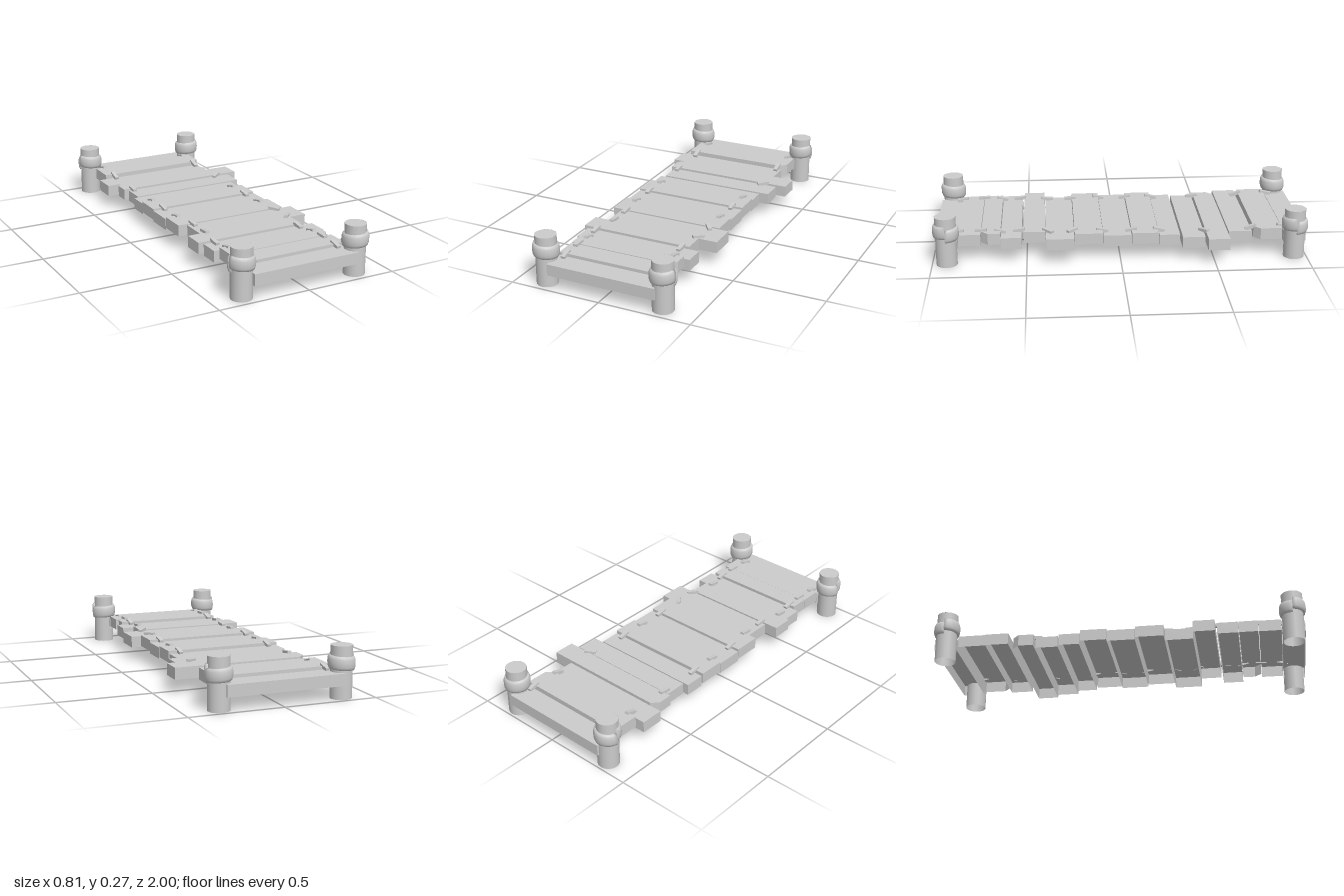
import * as THREE from 'three';

const material = new THREE.MeshStandardMaterial({ color: 0xcccccc, side: THREE.DoubleSide });

// Planks, back to front: z0, z1, x0, x1, bottom y, chipped corner (optional)
const PLANKS = [
  [-1.0, -0.88, -0.33, 0.3, 0.075],
  [-0.87, -0.72, -0.325, 0.3, 0.09, 'frontRight'],
  [-0.71, -0.585, -0.37, 0.28, 0.07],
  [-0.575, -0.46, -0.325, 0.405, 0.077, 'backLeft'],
  [-0.45, -0.33, -0.3, 0.35, 0.07],
  [-0.32, -0.21, -0.325, 0.3, 0.067],
  [-0.205, -0.063, -0.33, 0.305, 0.082],
  [-0.06, 0.09, -0.33, 0.305, 0.072],
  [0.093, 0.243, -0.33, 0.305, 0.085],
  [0.246, 0.395, -0.28, 0.36, 0.08],
  [0.4, 0.515, -0.355, 0.26, 0.085],
  [0.525, 0.635, -0.33, 0.32, 0.077],
  [0.638, 0.74, -0.3, 0.29, 0.092, 'frontRight'],
  [0.743, 0.862, -0.3, 0.295, 0.09],
  [0.865, 0.985, -0.3, 0.3, 0.075],
];
const THICK = 0.062;

// Extruded plank outline, hollow underneath
function plankGeometry(z0, z1, x0, x1, chip) {
  const c = 0.035;
  const points = [[x0, -z1]];
  if (chip === 'frontRight') points.push([x1 - c, -z1], [x1, -z1 + c]);
  else points.push([x1, -z1]);
  points.push([x1, -z0]);
  if (chip === 'backLeft') points.push([x0 + c, -z0], [x0, -z0 - c]);
  else points.push([x0, -z0]);
  const shape = new THREE.Shape(points.map(p => new THREE.Vector2(...p)));
  const solid = new THREE.ExtrudeGeometry(shape, { depth: THICK, bevelEnabled: false });
  solid.rotateX(-Math.PI / 2);
  // Drop the triangles of the bottom cap
  const pos = solid.attributes.position;
  const kept = [];
  for (let i = 0; i < pos.count; i += 3) {
    if (Math.max(pos.getY(i), pos.getY(i + 1), pos.getY(i + 2)) < 0.001) continue;
    for (let k = i; k < i + 3; k++) kept.push(pos.getX(k), pos.getY(k), pos.getZ(k));
  }
  const g = new THREE.BufferGeometry();
  g.setAttribute('position', new THREE.Float32BufferAttribute(kept, 3));
  g.computeVertexNormals();
  return g;
}

// Bulged band wound once round a post, dropping as it goes so its ends overlap in a step
function collarGeometry(side) {
  const profile = [[0.054, 0], [0.064, 0], [0.069, 0.014], [0.07, 0.033], [0.069, 0.052], [0.064, 0.066], [0.054, 0.068]];
  const steps = 24, n = profile.length, pos = [], index = [];
  for (let i = 0; i <= steps; i++) {
    const t = i / steps, a = t * Math.PI * 2;
    for (const [r, y] of profile) {
      pos.push(side * r * Math.cos(a), y + 0.163 - 0.02 * t, r * Math.sin(a));
    }
  }
  for (let i = 0; i < steps; i++) {
    for (let j = 0; j < n - 1; j++) {
      const a = i * n + j, b = a + n;
      if (side > 0) index.push(a, a + 1, b, b, a + 1, b + 1);
      else index.push(a, b, a + 1, b, b + 1, a + 1);
    }
  }
  // End caps of the band
  for (const [start, flip] of [[0, side < 0], [steps * n, side > 0]]) {
    for (let j = 1; j < n - 1; j++) {
      index.push(start, start + (flip ? j : j + 1), start + (flip ? j + 1 : j));
    }
  }
  const g = new THREE.BufferGeometry();
  g.setAttribute('position', new THREE.Float32BufferAttribute(pos, 3));
  g.setIndex(index);
  g.computeVertexNormals();
  return g;
}

export function createModel() {
  const model = new THREE.Group();
  const add = (geometry, name, parent = model) => {
    const mesh = new THREE.Mesh(geometry, material);
    mesh.name = name;
    parent.add(mesh);
    return mesh;
  };

  // Deck of uneven planks
  PLANKS.forEach(([z0, z1, x0, x1, y, chip], i) => {
    add(plankGeometry(z0, z1, x0, x1, chip), 'plank' + (i + 1)).position.y = y;
  });

  // Corner posts with their wound collars
  for (const x of [-0.338, 0.318]) {
    for (const z of [-0.933, 0.922]) {
      const post = new THREE.Group();
      post.name = 'cornerPost';
      post.position.set(x, 0, z);
      add(new THREE.CylinderGeometry(0.056, 0.056, 0.27, 18, 1, true), 'postShaft', post).position.y = 0.135;
      const top = add(new THREE.CircleGeometry(0.056, 18), 'postTop', post);
      top.rotation.x = -Math.PI / 2;
      top.position.y = 0.27;
      add(collarGeometry(Math.sign(x)), 'postCollar', post);
      model.add(post);
    }
  }

  // Short ties bridging neighbouring planks: z, left x, right x, right-hand twist
  const TIES = [
    [-0.88, -0.275, 0.255], [-0.705, -0.275, 0.255], [-0.45, -0.275, 0.27, -0.9],
    [-0.21, -0.27, 0.245], [-0.06, -0.27, 0.245], [0.095, -0.27, 0.245],
    [0.255, -0.25, 0.25, 0.65], [0.385, -0.25, 0.25, -0.75], [0.54, -0.275, 0.225],
    [0.64, -0.26, 0.24], [0.742, -0.26, 0.24], [0.864, -0.26, 0.24],
  ];
  const topAt = z => {
    const plank = PLANKS.find(p => z <= p[1]) || PLANKS[PLANKS.length - 1];
    return plank[4] + THICK;
  };
  for (const [z, xa, xb, twist = 0] of TIES) {
    const back = topAt(z - 0.03), front = topAt(z + 0.03);
    for (const [x, turn] of [[xa, 0], [xb, twist]]) {
      const tie = add(new THREE.BoxGeometry(0.022, 0.018, 0.064), 'plankTie');
      tie.rotation.order = 'YXZ';
      tie.rotation.set(Math.atan2(back - front, 0.064), turn, 0);
      tie.position.set(x, (back + front) / 2 + 0.004, z);
    }
  }
  return model;
}
